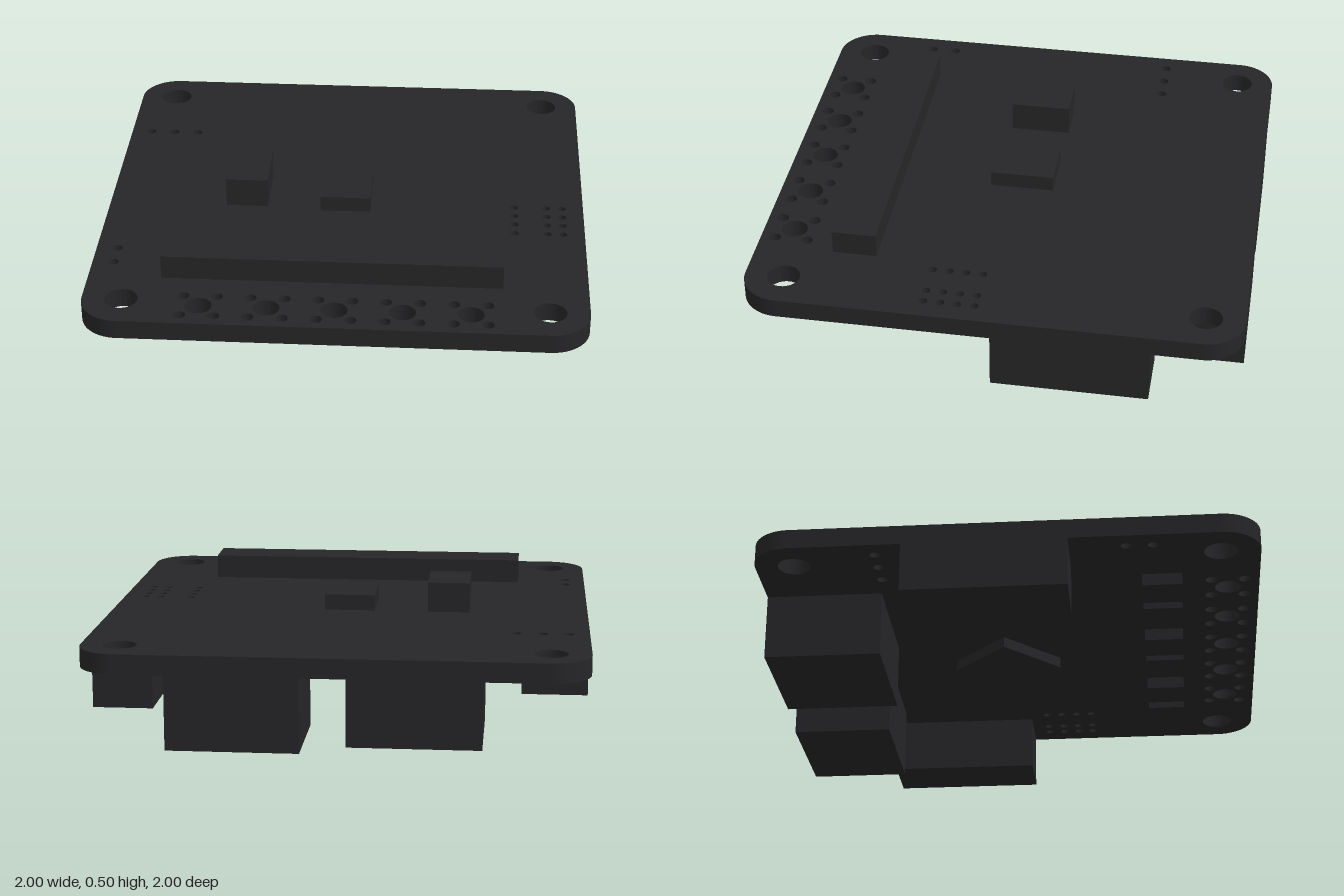
import * as THREE from 'three';

const BOTTOM = 0.3, TOP = 0.38;

export function createModel() {
  const model = new THREE.Group();
  model.name = 'circuitBoard';
  const material = new THREE.MeshStandardMaterial({ color: 0x262628 });

  const add = (name, geometry) => {
    const mesh = new THREE.Mesh(geometry, material);
    mesh.name = name;
    model.add(mesh);
    return mesh;
  };
  // Box given by its extents on each axis
  const box = (name, x0, x1, y0, y1, z0, z1) => {
    const mesh = add(name, new THREE.BoxGeometry(x1 - x0, y1 - y0, z1 - z0));
    mesh.position.set((x0 + x1) / 2, (y0 + y1) / 2, (z0 + z1) / 2);
    return mesh;
  };

  // Board outline with rounded corners (shape y maps to -z)
  const r = 0.157, c = 1 - r;
  const outline = new THREE.Shape();
  outline.absarc(c, c, r, 0, Math.PI / 2);
  outline.absarc(-c, c, r, Math.PI / 2, Math.PI);
  outline.absarc(-c, -c, r, Math.PI, Math.PI * 1.5);
  outline.absarc(c, -c, r, Math.PI * 1.5, Math.PI * 2);
  outline.closePath();
  const hole = (x, z, radius) => {
    const path = new THREE.Path();
    path.absarc(x, -z, radius, 0, Math.PI * 2, true);
    outline.holes.push(path);
  };

  // Mounting holes
  for (const x of [-c, c]) for (const z of [-c, c]) hole(x, z, 0.066);
  // Header pin holes
  for (const x of [-0.915, -0.81, -0.705]) hole(x, -0.51, 0.021);
  for (const z of [0.475, 0.58]) hole(-0.915, z, 0.021);
  for (const x of [0.71, 0.845, 0.91])
    for (const z of [0.06, 0.128, 0.196, 0.264]) hole(x, z, 0.017);
  // Button footprints: a large hole with four pin holes around it
  for (let i = -2; i <= 2; i++) {
    const x = i * 0.267;
    hole(x, 0.875, 0.053);
    for (const dx of [-0.067, 0.067])
      for (const dz of [-0.067, 0.067]) hole(x + dx, 0.875 + dz, 0.024);
  }
  const board = new THREE.ExtrudeGeometry(outline, { depth: TOP - BOTTOM, bevelEnabled: false, curveSegments: 16 });
  board.rotateX(-Math.PI / 2);
  add('board', board).position.y = BOTTOM;

  // Parts on the upper face
  box('tallChip', -0.505, -0.33, TOP, 0.505, -0.14, 0.11);
  box('flatChip', -0.105, 0.105, TOP, 0.445, -0.135, 0.13);
  box('longConnector', -0.705, 0.66, TOP, 0.48, 0.505, 0.685);

  // Sockets on the underside
  box('rightSideSocket', -1, -0.73, 0.1, BOTTOM, -0.4, 0.25);
  box('leftSideSocket', 0.755, 1, 0.07, BOTTOM, -0.645, -0.015);
  box('rightRearSocket', -0.585, -0.06, 0.03, BOTTOM, -1, -0.53);
  box('leftRearSocket', 0.12, 0.645, 0, BOTTOM, -1, -0.59);

  // Row of small components and the diagonal processor underneath
  for (const x of [-0.592, -0.38, -0.085, 0.12, 0.41, 0.63])
    box('smallComponent', x - 0.079, x + 0.079, 0.25, BOTTOM, 0.53, 0.69);
  box('processor', -0.07, 0.25, 0.255, BOTTOM, -0.23, 0.09).rotation.y = Math.PI / 4;

  return model;
}
